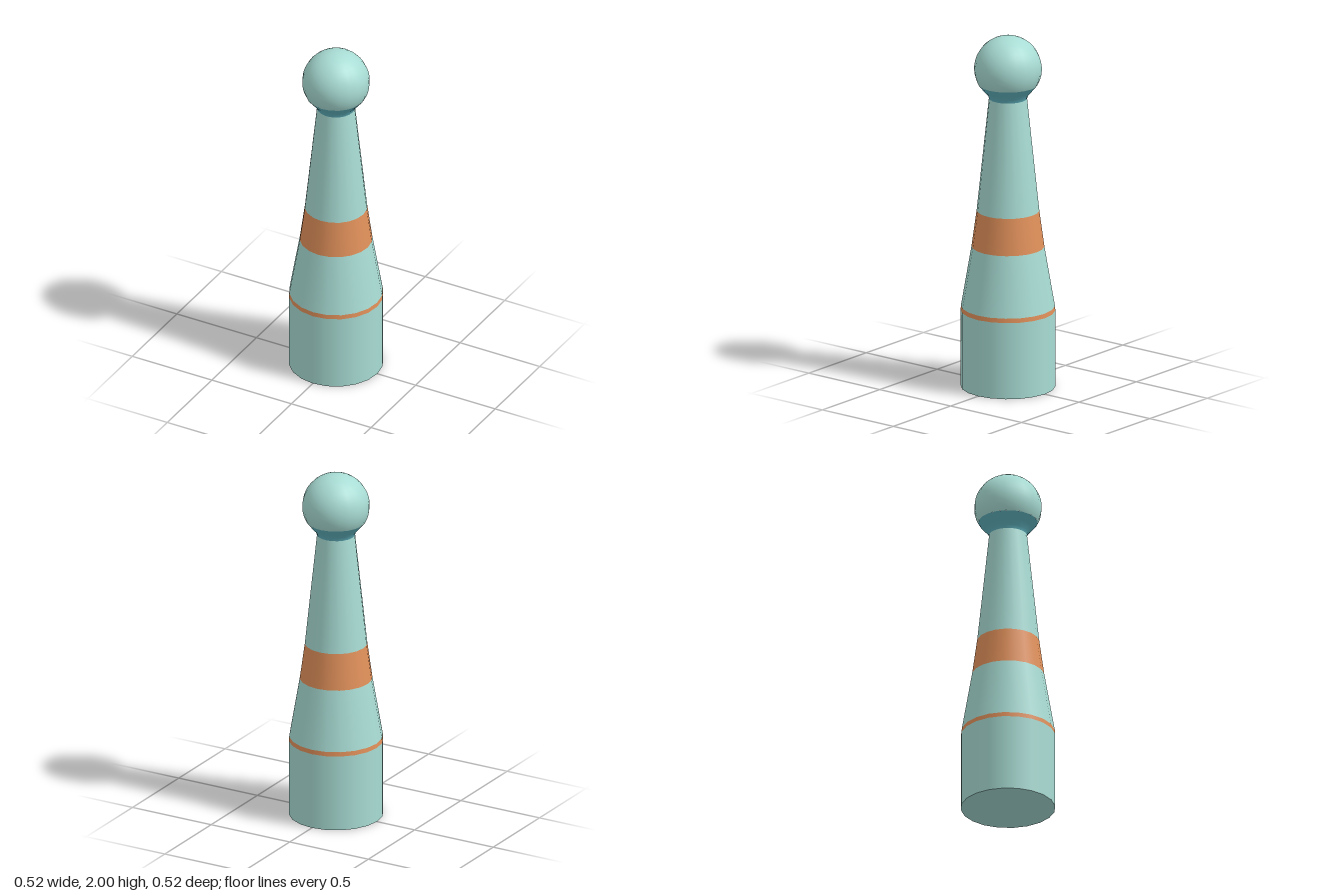
import * as THREE from 'three';

const SIDES = 20;

export function createModel() {
  const model = new THREE.Group();
  model.name = 'turnedPeg';

  const material = (name, color) => {
    const m = new THREE.MeshStandardMaterial({ color });
    m.name = name;
    return m;
  };
  const mint = material('mint', 0xa8dcd4);
  const orange = material('orange', 0xe0905a);
  const teal = material('teal', 0x5fb0bc);

  // Each turned section runs from bottom to top as [radius, height] pairs
  const turn = (name, mat, profile) => {
    const points = profile.map(([r, y]) => new THREE.Vector2(r, y));
    const mesh = new THREE.Mesh(new THREE.LatheGeometry(points, SIDES), mat);
    mesh.name = name;
    model.add(mesh);
  };

  turn('base', mint, [[0.26, 0], [0.26, 0.435]]);
  turn('thinStripe', orange, [[0.26, 0.435], [0.258, 0.46]]);
  turn('lowerTaper', mint, [[0.258, 0.46], [0.2, 0.8]]);
  turn('wideStripe', orange, [[0.2, 0.8], [0.172, 1.005]]);
  turn('upperTaper', mint, [[0.172, 1.005], [0.105, 1.645]]);
  turn('neck', teal, [[0.105, 1.645], [0.111, 1.665], [0.134, 1.69], [0.163, 1.725]]);

  // Flat underside
  const underside = new THREE.Mesh(new THREE.CircleGeometry(0.26, SIDES), mint);
  underside.name = 'underside';
  underside.rotation.x = Math.PI / 2;
  model.add(underside);

  // Ball on top, cut off where it meets the neck
  const radius = 0.186;
  const centre = 2 - radius;
  const cut = Math.acos((1.725 - centre) / radius);
  const ball = new THREE.Mesh(
    new THREE.SphereGeometry(radius, SIDES, 14, 0, Math.PI * 2, 0, cut), mint);
  ball.name = 'ball';
  ball.position.y = centre;
  model.add(ball);

  return model;
}
